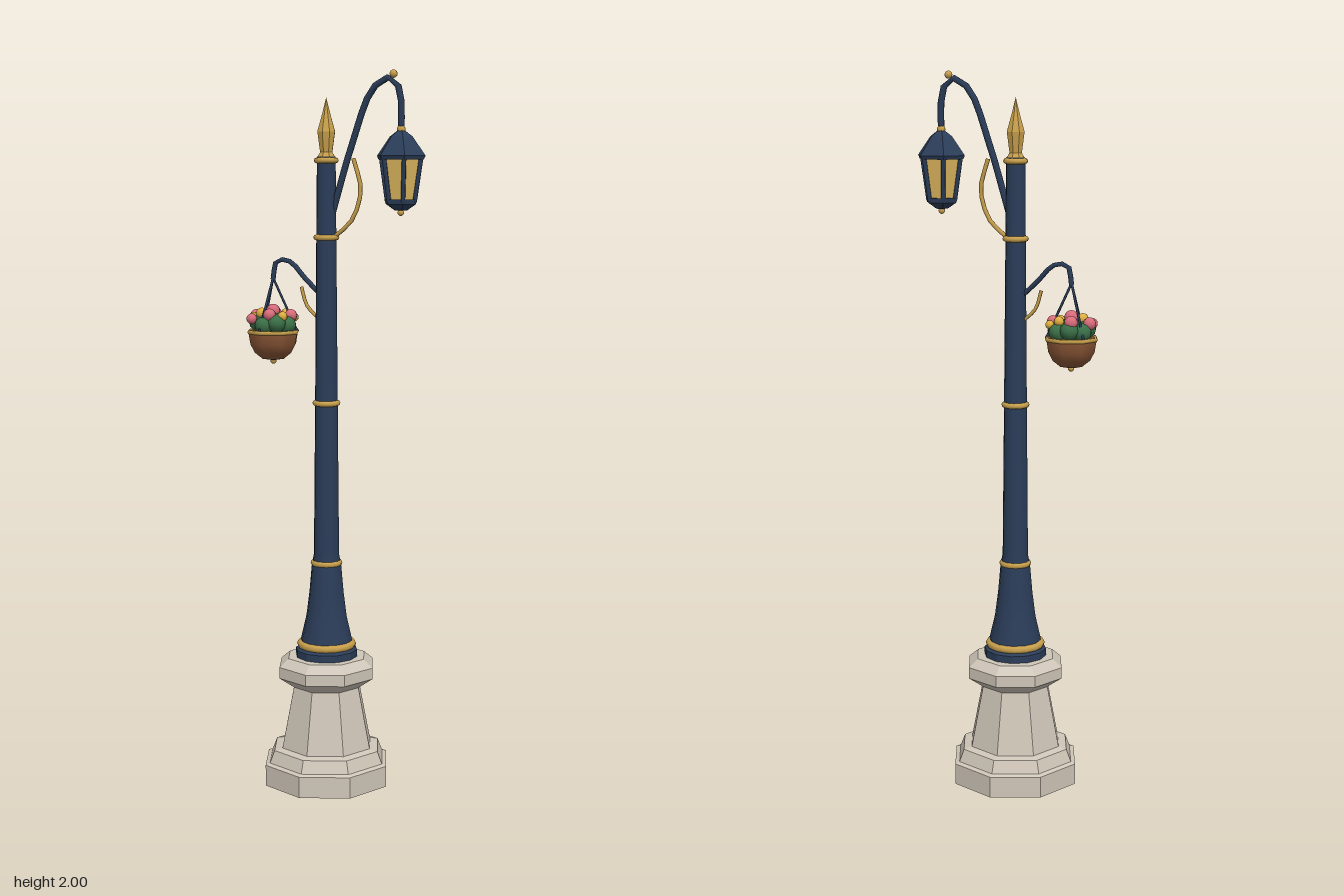
import * as THREE from 'three';

const mat = (name, color) => {
  const m = new THREE.MeshStandardMaterial({ color });
  m.name = name;
  return m;
};

export function createModel() {
  const stone = mat('stone', 0xcfc6b8), navy = mat('navy iron', 0x2b3d59);
  const gold = mat('gold', 0xc8a04c), glass = mat('lantern glass', 0xdfb860);
  const brown = mat('basket brown', 0x8a5636), green = mat('foliage green', 0x3b7048);
  const pink = mat('pink petals', 0xd96c7b), yellow = mat('yellow petals', 0xe0b040);

  const model = new THREE.Group();
  model.name = 'lampPost';
  const V = (x, y, z = 0) => new THREE.Vector3(x, y, z);

  const add = (parent, name, geometry, material, x = 0, y = 0, z = 0) => {
    const mesh = new THREE.Mesh(geometry, material);
    mesh.name = name;
    mesh.position.set(x, y, z);
    parent.add(mesh);
    return mesh;
  };
  const group = (name, x) => {
    const g = new THREE.Group();
    g.name = name;
    g.position.x = x;
    model.add(g);
    return g;
  };
  const flat = (g) => {
    const out = g.index ? g.toNonIndexed() : g;
    out.computeVertexNormals();
    return out;
  };
  // Turned profile, listed from bottom to top
  const lathe = (pts, sides, start = 0) =>
    new THREE.LatheGeometry(pts.map(([r, y]) => new THREE.Vector2(r, y)), sides, start);
  const ring = (r, tube) => new THREE.TorusGeometry(r, tube, 8, 16).rotateX(Math.PI / 2);
  const ball = (r) => new THREE.SphereGeometry(r, 10, 8);
  const bend = (pts, r, segments) => new THREE.TubeGeometry(
    new THREE.CatmullRomCurve3(pts.map(p => V(...p))), segments, r, 6);
  // Straight rod between two points
  const rod = (parent, name, a, b, r, material) => {
    const mesh = add(parent, name, new THREE.CylinderGeometry(r, r, a.distanceTo(b), 6), material);
    mesh.position.copy(a).add(b).multiplyScalar(0.5);
    mesh.quaternion.setFromUnitVectors(V(0, 1), b.clone().sub(a).normalize());
  };

  // Octagonal stone pedestal
  const post = group('post', -0.026);
  add(post, 'pedestal', flat(lathe([[0, 0], [0.185, 0], [0.185, 0.06], [0.172, 0.065],
    [0.158, 0.1], [0.134, 0.105], [0.099, 0.28], [0.142, 0.31], [0.142, 0.342],
    [0.115, 0.365], [0, 0.365]], 8)), stone);

  // Iron column with a flared foot
  add(post, 'columnFoot', flat(lathe([[0, 0.36], [0.088, 0.36], [0.088, 0.385],
    [0.076, 0.392], [0, 0.392]], 12, Math.PI / 12)), navy);
  add(post, 'column', lathe([[0.077, 0.385], [0.072, 0.42], [0.058, 0.48], [0.049, 0.55],
    [0.042, 0.63], [0.036, 0.66], [0.032, 1.09], [0.028, 1.55], [0.026, 1.77]], 12, Math.PI / 12), navy);

  // Gold collars
  for (const [y, r, t] of [[0.4, 0.073, 0.011], [0.635, 0.036, 0.009], [1.09, 0.031, 0.008],
    [1.55, 0.028, 0.008], [1.76, 0.026, 0.008]]) {
    add(post, 'collar', ring(r, t), gold, 0, y);
  }

  // Spear finial
  add(post, 'finial', flat(lathe([[0.03, 1.762], [0.018, 1.782], [0.026, 1.838],
    [0.012, 1.885], [0, 1.93]], 8)), gold);

  // Lamp arm and its brace
  const lampArm = group('lampArm', 0);
  add(lampArm, 'lampBracket', bend([[-0.012, 1.6], [0.012, 1.68], [0.05, 1.8], [0.115, 1.955],
    [0.17, 1.98], [0.192, 1.935], [0.195, 1.83]], 0.009, 14), navy);
  add(lampArm, 'lampScroll', bend([[-0.005, 1.55], [0.05, 1.597], [0.077, 1.68],
    [0.055, 1.765]], 0.006, 7), gold);
  add(lampArm, 'armKnob', ball(0.011), gold, 0.172, 1.989);

  // Hexagonal lantern, corners on the x axis
  const lantern = group('lantern', 0.195);
  const hex = Math.PI / 6;
  add(lantern, 'lanternRoof', flat(lathe([[0, 1.762], [0.066, 1.762], [0.0705, 1.772],
    [0.033, 1.823], [0.009, 1.84], [0, 1.84]], 6, hex)), navy);
  add(lantern, 'roofKnob', ball(0.012), gold, 0, 1.842);
  add(lantern, 'lanternGlass', flat(lathe([[0.036, 1.648], [0.053, 1.764]], 6, hex)), glass);
  add(lantern, 'lanternBase', flat(lathe([[0, 1.625], [0.018, 1.626], [0.044, 1.643],
    [0.046, 1.656], [0, 1.656]], 6, hex)), navy);
  add(lantern, 'baseKnob', ball(0.009), gold, 0, 1.62);
  for (let i = 0; i < 6; i++) {
    const a = i * Math.PI / 3, c = Math.cos(a), s = Math.sin(a);
    rod(lantern, 'lanternBar', V(0.04 * c, 1.648, 0.04 * s), V(0.058 * c, 1.766, 0.058 * s), 0.006, navy);
  }

  // Basket arm and its brace
  const basketArm = group('basketArm', 0);
  add(basketArm, 'basketBracket', bend([[-0.035, 1.385], [-0.09, 1.435], [-0.138, 1.482],
    [-0.178, 1.482], [-0.19, 1.43]], 0.007, 10), navy);
  add(basketArm, 'basketScroll', bend([[-0.045, 1.322], [-0.085, 1.36], [-0.102, 1.412]], 0.005, 6), gold);

  // Hanging basket
  const basket = group('hangingBasket', -0.19);
  add(basket, 'basketBowl', lathe([[0, 1.203], [0.032, 1.208], [0.055, 1.226], [0.068, 1.25],
    [0.074, 1.285], [0.068, 1.287], [0, 1.287]], 8), brown);
  add(basket, 'basketRim', new THREE.TorusGeometry(0.071, 0.006, 6, 8).rotateX(Math.PI / 2), gold, 0, 1.284);
  add(basket, 'basketTip', ball(0.009), gold, 0, 1.202);
  for (const deg of [100, 220, 340]) {
    const a = deg * Math.PI / 180;
    rod(basket, 'hanger', V(0, 1.435), V(0.068 * Math.cos(a), 1.285, 0.068 * Math.sin(a)), 0.0035, navy);
  }

  // Foliage mound
  add(basket, 'foliageCore', new THREE.IcosahedronGeometry(0.04, 1), green, 0, 1.302);
  for (let i = 0; i < 7; i++) {
    const a = i * Math.PI * 2 / 7;
    add(basket, 'foliage', new THREE.IcosahedronGeometry(0.026, 1), green,
      0.042 * Math.cos(a), 1.304 + 0.006 * (i % 2), 0.042 * Math.sin(a));
  }

  // Blossoms: x, z, radius, colour
  for (const [x, z, r, m] of [[0, 0, 0.02, pink], [-0.014, -0.041, 0.019, pink],
    [0.047, -0.016, 0.018, pink], [-0.054, -0.003, 0.018, pink], [0.008, 0.04, 0.018, pink],
    [-0.045, 0.045, 0.015, pink], [0.023, -0.034, 0.014, yellow], [0.05, -0.034, 0.012, yellow],
    [-0.025, 0.023, 0.016, yellow], [-0.048, 0.026, 0.012, yellow], [0.042, 0.027, 0.014, yellow]]) {
    add(basket, 'blossom', ball(r), m, x, 1.342 - 5 * (x * x + z * z), z);
  }
  return model;
}
